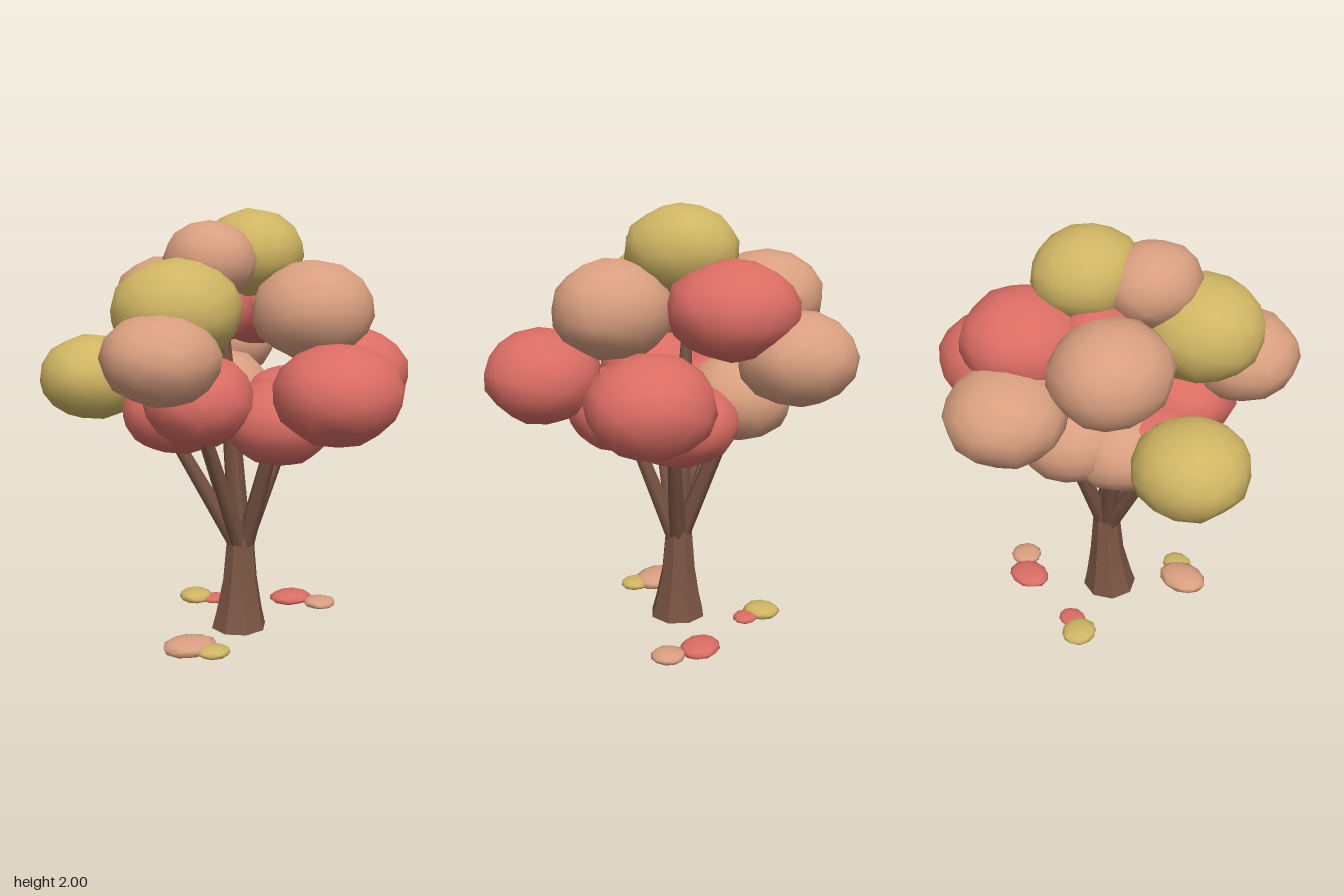
import * as THREE from 'three';
import { mergeVertices, toCreasedNormals } from 'three/addons/utils/BufferGeometryUtils.js';

const material = (name, color) => {
  const m = new THREE.MeshStandardMaterial({ color });
  m.name = name;
  return m;
};

// Small seeded generator for the uneven foliage
function seeded(seed) {
  let s = seed * 7919 + 17;
  return () => (s = (s * 16807) % 2147483647) / 2147483647;
}

// Lumpy low-poly ball with smooth normals; floor keeps it above a given height
function lump(seed, [rx, ry, rz], detail, floor = -Infinity) {
  let geo = new THREE.IcosahedronGeometry(1, detail);
  geo.deleteAttribute('uv');
  geo.deleteAttribute('normal');
  geo = mergeVertices(geo, 1e-3);
  const rand = seeded(seed);
  for (let i = 0; i < 5; i++) rand();
  geo.rotateX(rand() * 3).rotateY(rand() * 6);
  const p = geo.attributes.position;
  for (let i = 0; i < p.count; i++) {
    const k = 0.975 + rand() * 0.06;
    p.setXYZ(i, p.getX(i) * k * rx, Math.max(p.getY(i) * k * ry, floor), p.getZ(i) * k * rz);
  }
  geo.computeVertexNormals();
  return geo;
}

export function createModel() {
  const tree = new THREE.Group();
  tree.name = 'autumnTree';
  const bark = material('bark brown', 0x7a5544);
  const red = material('leaf red', 0xdb6d64);
  const peach = material('leaf peach', 0xd99f80);
  const gold = material('leaf gold', 0xcfb563);

  const add = (parent, name, geo, mat, pos = [0, 0, 0]) => {
    const mesh = new THREE.Mesh(geo, mat);
    mesh.name = name;
    mesh.position.set(...pos);
    parent.add(mesh);
    return mesh;
  };
  const group = (name) => {
    const g = new THREE.Group();
    g.name = name;
    tree.add(g);
    return g;
  };

  // Trunk, flared at the root
  const profile = [[0, 0], [0.135, 0], [0.115, 0.08], [0.085, 0.24], [0.062, 0.5], [0, 0.54]]
    .map(([r, y]) => new THREE.Vector2(r, y));
  const trunkGeo = new THREE.LatheGeometry(profile, 8);
  const tp = trunkGeo.attributes.position;
  for (let i = 0; i < tp.count; i++) {
    const bottom = Math.max(0, 1 - tp.getY(i) / 0.3);
    tp.setX(i, tp.getX(i) + 0.012 * (1 - bottom));
    tp.setZ(i, tp.getZ(i) + 0.012 * bottom);
  }
  add(tree, 'trunk', toCreasedNormals(trunkGeo, 0.6), bark);

  // Branches: start, end, lower and upper radius
  const branches = group('branches');
  [
    [[-0.01, 0.42, 0.0], [-0.34, 1.02, -0.05], 0.045, 0.03],
    [[0.0, 0.42, 0.02], [-0.23, 1.05, 0.22], 0.045, 0.028],
    [[0.03, 0.42, 0.02], [0.12, 1.05, 0.24], 0.045, 0.03],
    [[0.03, 0.42, 0.0], [0.3, 1.02, -0.08], 0.045, 0.03],
    [[0.02, 0.42, -0.01], [0.04, 1.08, -0.28], 0.045, 0.03],
    [[0.0, 0.42, -0.01], [-0.17, 1.05, -0.17], 0.04, 0.028],
    [[0.01, 0.42, 0.0], [-0.03, 0.95, 0.0], 0.055, 0.045],
    [[-0.03, 0.95, 0.0], [-0.07, 1.6, -0.02], 0.045, 0.018],
  ].forEach(([from, to, r0, r1], i) => {
    const a = new THREE.Vector3(...from), b = new THREE.Vector3(...to);
    const dir = b.clone().sub(a);
    const mesh = add(branches, 'branch' + (i + 1),
      new THREE.CylinderGeometry(r1, r0, dir.length(), 6), bark,
      a.clone().add(b).multiplyScalar(0.5).toArray());
    mesh.quaternion.setFromUnitVectors(new THREE.Vector3(0, 1, 0), dir.normalize());
  });

  // Crown: colour, centre, radii
  const crown = group('crown');
  [
    // top
    [gold, [0.08, 1.8, -0.04], [0.235, 0.2, 0.26]],
    [peach, [-0.16, 1.77, 0.1], [0.21, 0.18, 0.23]],
    [red, [-0.08, 1.55, -0.16], [0.2, 0.19, 0.2]],
    // upper ring
    [gold, [-0.34, 1.56, 0.23], [0.285, 0.23, 0.28]],
    [peach, [0.29, 1.55, 0.21], [0.275, 0.225, 0.27]],
    [red, [0.2, 1.56, -0.32], [0.28, 0.22, 0.295]],
    [peach, [-0.27, 1.56, -0.32], [0.255, 0.22, 0.28]],
    // outer ring
    [red, [0.28, 1.22, 0.57], [0.28, 0.22, 0.27]],
    [red, [0.61, 1.21, -0.1], [0.28, 0.22, 0.275]],
    [peach, [0.09, 1.35, -0.58], [0.265, 0.21, 0.265]],
    [gold, [-0.64, 1.22, -0.26], [0.25, 0.2, 0.26]],
    [peach, [-0.45, 1.38, 0.41], [0.255, 0.2, 0.265]],
    // underside
    [red, [-0.25, 1.17, 0.23], [0.25, 0.21, 0.27]],
    [red, [-0.28, 1.07, -0.05], [0.26, 0.195, 0.26]],
    [red, [0.12, 1.06, 0.25], [0.25, 0.2, 0.26]],
    [red, [0.27, 1.06, -0.08], [0.25, 0.2, 0.29]],
    [peach, [-0.01, 1.13, -0.28], [0.25, 0.2, 0.25]],
    [peach, [-0.19, 1.08, -0.17], [0.24, 0.19, 0.23]],
  ].forEach(([mat, pos, radii], i) =>
    add(crown, 'leafCluster' + (i + 1), lump(i + 1, radii, 2), mat, pos));

  // Fallen leaf piles, flat on the ground
  const piles = group('fallenLeaves');
  [
    [peach, [-0.3, 0.025, 0.25], [0.13, 0.045, 0.1]],
    [gold, [-0.21, 0.022, 0.33], [0.08, 0.028, 0.07]],
    [red, [0.35, 0.025, -0.23], [0.11, 0.033, 0.09]],
    [peach, [0.47, 0.022, -0.12], [0.08, 0.028, 0.08]],
    [gold, [-0.12, 0.025, -0.385], [0.085, 0.035, 0.09]],
    [red, [-0.03, 0.02, -0.33], [0.07, 0.02, 0.06]],
  ].forEach(([mat, pos, radii], i) =>
    add(piles, 'leafPile' + (i + 1), lump(i + 40, radii, 1, -pos[1]), mat, pos));

  return tree;
}
